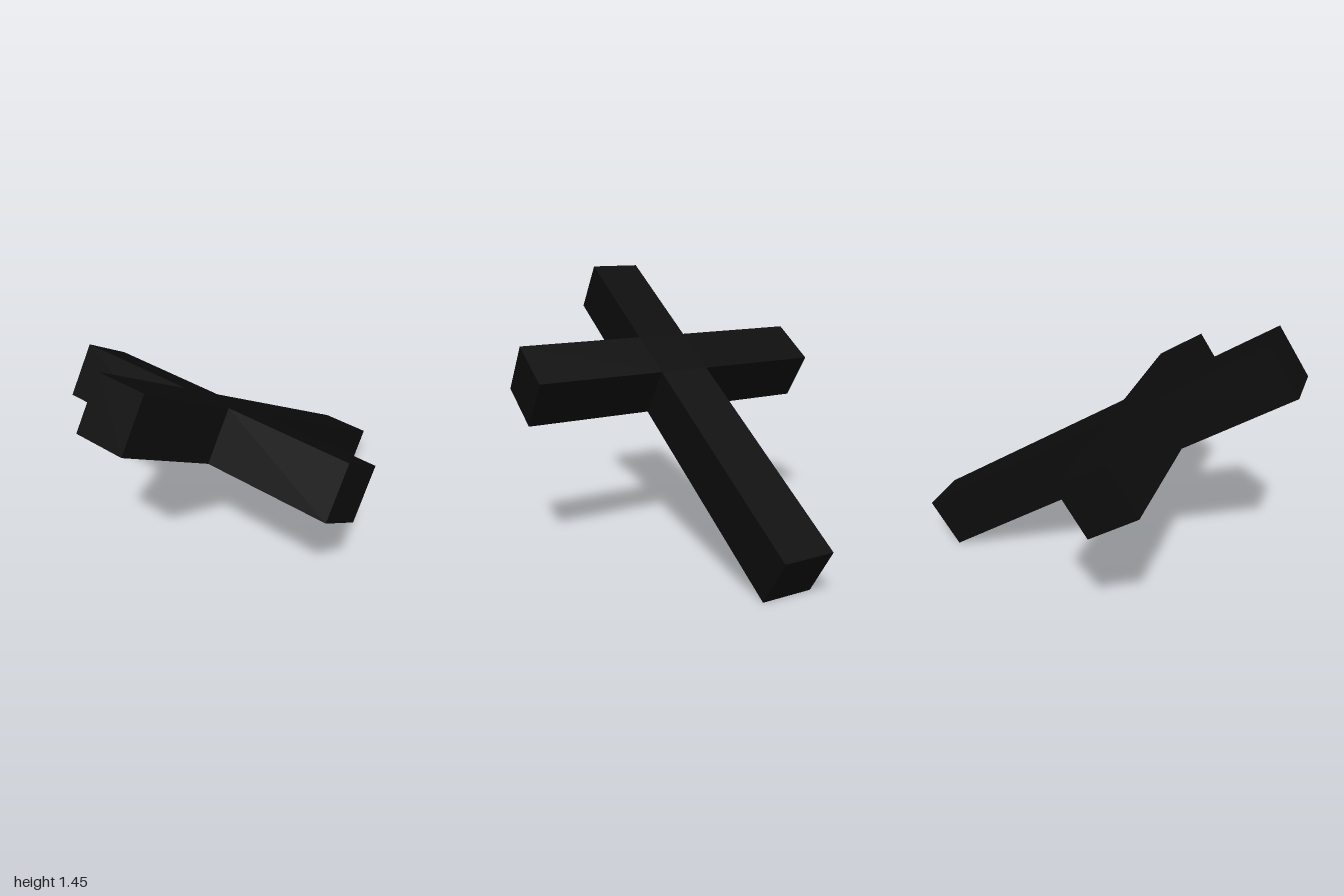
import * as THREE from 'three';

export function createModel() {
  const group = new THREE.Group();
  group.name = 'cross';
  const black = new THREE.MeshStandardMaterial({ color: 0x0c0c0c });
  black.name = 'black';

  const length = 2.205, depth = 0.286;
  const post = 0.138, arm = 0.82;          // half widths in x
  const top = length / 2, low = 0.173, high = 0.458; // heights along the post

  // One outline, so post and arms meet flush
  const right = [[post, -top], [post, low], [arm, low], [arm, high], [post, high], [post, top]];
  const left = right.map(([x, y]) => [-x, y]).reverse();
  const outline = new THREE.Shape([...right, ...left].map(([x, y]) => new THREE.Vector2(x, y)));

  const geometry = new THREE.ExtrudeGeometry(outline, { depth, bevelEnabled: false });
  geometry.translate(0, 0, -depth / 2);

  // Post and arms, leaning forward
  const cross = new THREE.Mesh(geometry, black);
  cross.name = 'postAndArms';
  cross.rotation.x = Math.atan2(1.84, 1.215);
  cross.position.y = 0.728;
  group.add(cross);
  return group;
}
